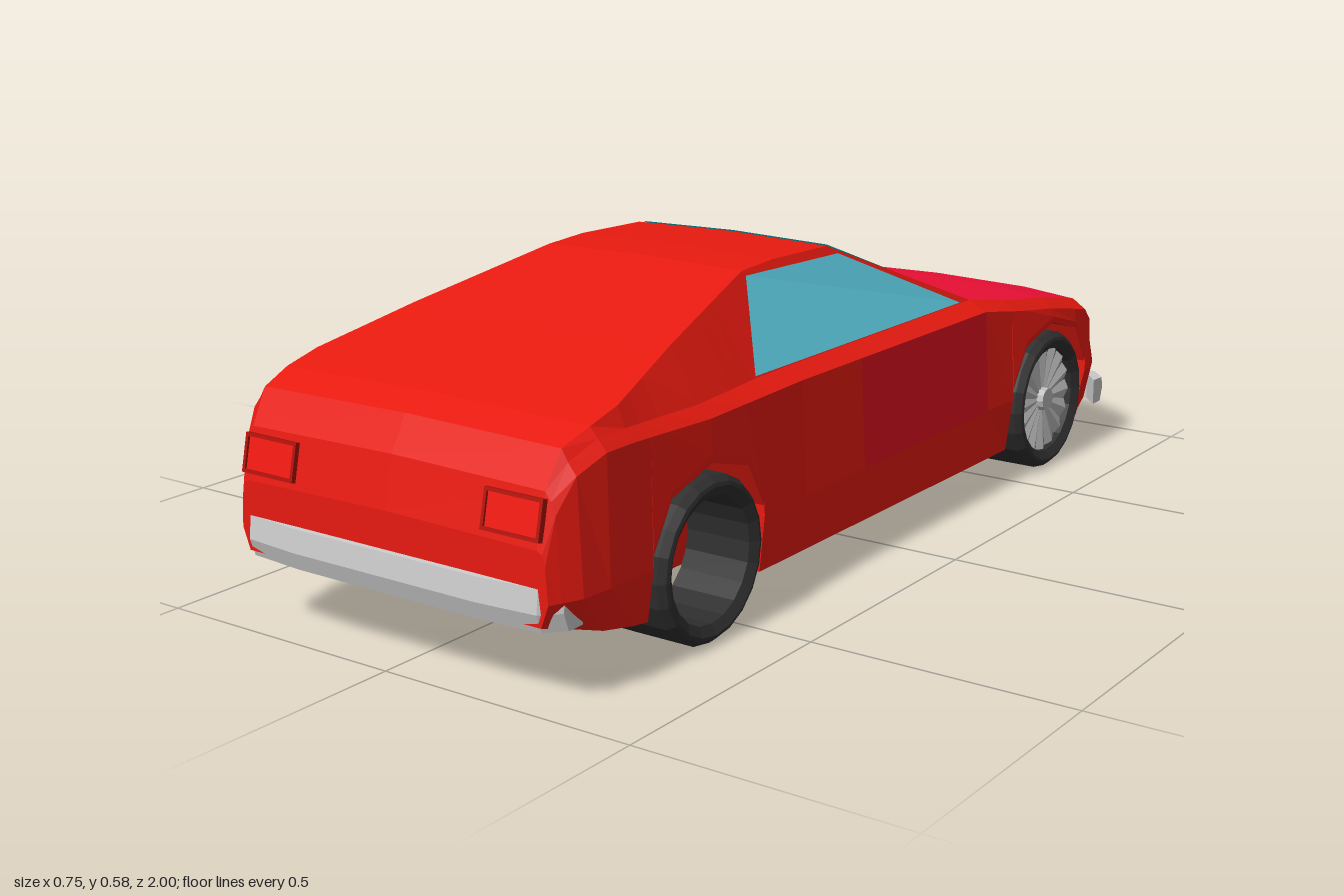
import * as THREE from 'three';

// Piecewise linear lookup in a short list of [position, value] keys
function key(list, z) {
  if (z <= list[0][0]) return list[0][1];
  for (let i = 1; i < list.length; i++) {
    const [z0, v0] = list[i - 1], [z1, v1] = list[i];
    if (z <= z1) return v0 + (v1 - v0) * (z - z0) / (z1 - z0);
  }
  return list[list.length - 1][1];
}

// Body curves along z (nose at -z, tail at +z)
const TOP = [[-0.985, 0.24], [-0.95, 0.305], [-0.8, 0.352], [-0.65, 0.382], [-0.5, 0.396], [-0.38, 0.405], [0.02, 0.575],
  [0.2, 0.58], [0.3, 0.575], [0.6, 0.51], [0.8, 0.46], [0.87, 0.442], [0.93, 0.42], [0.965, 0.36], [0.985, 0.27]];
const ROOF_X = [[-0.985, 0.2], [-0.8, 0.22], [-0.5, 0.25], [-0.38, 0.308], [0.02, 0.22], [0.3, 0.22], [0.6, 0.285],
  [0.8, 0.33], [0.87, 0.33], [0.985, 0.315]];
const SILL_X = [[-0.985, 0.31], [-0.95, 0.33], [-0.8, 0.34], [-0.5, 0.335], [-0.38, 0.31], [0.3, 0.315], [0.41, 0.32],
  [0.6, 0.34], [0.87, 0.345], [0.985, 0.325]];
const SILL_Y = [[-0.985, 0.235], [-0.95, 0.295], [-0.8, 0.335], [-0.65, 0.365], [-0.5, 0.385], [-0.38, 0.405],
  [0.6, 0.412], [0.8, 0.42], [0.87, 0.42], [0.93, 0.395], [0.965, 0.34], [0.985, 0.26]];
const SHOULDER_X = [[-0.985, 0.345], [-0.9, 0.37], [-0.6, 0.367], [-0.38, 0.35], [0.3, 0.35], [0.6, 0.366], [0.9, 0.362], [0.985, 0.33]];
const MID_X = [[-0.985, 0.355], [-0.9, 0.375], [-0.6, 0.372], [-0.38, 0.36], [0.3, 0.36], [0.6, 0.37], [0.92, 0.365], [0.985, 0.335]];
const BOTTOM_X = [[-0.985, 0.33], [-0.85, 0.35], [0.85, 0.355], [0.985, 0.32]];
const FLOOR = [[-0.985, 0.09], [-0.95, 0.075], [-0.8, 0.07], [0.7, 0.078], [0.85, 0.1], [0.93, 0.125], [0.985, 0.14]];
const ARCH = [[-0.161, 0], [-0.16, 0.2], [-0.11, 0.285], [0, 0.317], [0.11, 0.285], [0.16, 0.2], [0.161, 0]];
const AXLES = [-0.64, 0.6];

// Closed cross-section at z: floor, wheel well, flank, window band, roof, then mirrored
function section(z) {
  const floor = key(FLOOR, z);
  const arch = Math.max(floor, ...AXLES.map(a => key(ARCH, z - a)));
  const midX = key(MID_X, z), midY = Math.max(0.18, arch + 0.012);
  const bottomX = key(BOTTOM_X, z);
  const lowX = bottomX + (midX - bottomX) * (arch - floor) / (midY - floor);
  const top = key(TOP, z), sillY = key(SILL_Y, z);
  const half = [[0, floor], [0.22, floor], [0.22, arch], [lowX, arch], [midX, midY],
    [key(SHOULDER_X, z), sillY - 0.02], [key(SILL_X, z), sillY], [key(ROOF_X, z), top - 0.005], [0, top]];
  const ring = [...half, ...half.slice(1, 8).reverse().map(([x, y]) => [-x, y])];
  // the nose sweeps back towards its corners
  const sweep = Math.min(1, Math.max(0, (-z - 0.8) / 0.15));
  return ring.map(([x, y]) => {
    const ax = Math.abs(x);
    return new THREE.Vector3(x, y, z + sweep * (0.08 * ax + 0.5 * Math.max(0, ax - 0.2)));
  });
}

function mesh(name, geometry, color, side = THREE.FrontSide) {
  const m = new THREE.Mesh(geometry, new THREE.MeshStandardMaterial({ color, flatShading: true, side }));
  m.name = name;
  return m;
}

// Skin over a row of closed rings; keep(i, j) picks the cells
function skin(rings, caps = true, keep = () => true) {
  const pts = [], n = rings[0].length;
  for (let i = 0; i < rings.length - 1; i++) {
    for (let j = 0; j < n; j++) {
      if (!keep(i, j)) continue;
      const k = (j + 1) % n;
      const a = rings[i][j], b = rings[i][k], c = rings[i + 1][k], d = rings[i + 1][j];
      pts.push(a, b, c, a, c, d);
    }
  }
  if (caps) {
    const first = rings[0], last = rings[rings.length - 1];
    for (let j = 1; j < n - 1; j++) pts.push(last[0], last[j], last[j + 1], first[0], first[j + 1], first[j]);
  }
  const g = new THREE.BufferGeometry().setFromPoints(pts);
  g.computeVertexNormals();
  return g;
}

// Pair of thin panels laid on the body; corners are [z, position round the section]
function panels(group, name, color, corners, lift = 0.004) {
  const p = corners.map(([z, s]) => {
    const ring = section(z), j = Math.min(7, Math.floor(s));
    return ring[j].clone().lerp(ring[j + 1], s - j);
  });
  const normal = p[2].clone().sub(p[0]).cross(p[3].clone().sub(p[1])).normalize();
  if (normal.y < 0) normal.negate();
  p.forEach(v => v.addScaledVector(normal, lift));
  for (const side of [1, -1]) {
    const q = p.map(v => new THREE.Vector3(v.x * side, v.y, v.z));
    const g = new THREE.BufferGeometry().setFromPoints([q[0], q[1], q[2], q[0], q[2], q[3]]);
    g.computeVertexNormals();
    group.add(mesh(name, g, color, THREE.DoubleSide));
  }
}

// Bumper bar: a [depth, y] profile carried along a plan of [x, z] points
function bumper(name, plan, profile, dir) {
  const loop = dir > 0 ? profile : [...profile].reverse();
  const rings = plan.map(([x, z]) => loop.map(([d, y]) => new THREE.Vector3(x, y, dir * (z + d))));
  return mesh(name, skin(rings), 0xc4c4c4);
}

// Hollow tyre with chamfered shoulders, axis along x
function tyre() {
  const profile = [[0.112, -0.065], [0.13, -0.075], [0.137, -0.073], [0.147, -0.06], [0.147, 0.06],
    [0.137, 0.073], [0.13, 0.075], [0.112, 0.065], [0.112, -0.065]];
  const g = new THREE.LatheGeometry(profile.map(([r, y]) => new THREE.Vector2(r, y)), 20);
  return mesh('tyre', g.rotateZ(-Math.PI / 2), 0x2e2e2e);
}

// Rim with tapered radial spokes
function rim() {
  const group = new THREE.Group();
  group.name = 'rim';
  const hub = new THREE.CylinderGeometry(0.024, 0.028, 0.03, 12).rotateZ(-Math.PI / 2);
  group.add(mesh('hub', hub, 0xbbbbbb));
  const spokes = 16;
  for (let i = 0; i < spokes; i++) {
    const g = new THREE.CylinderGeometry(0.021, 0.006, 0.094, 4).scale(0.4, 1, 1);
    g.translate(0, 0.064, 0).rotateX(i * 2 * Math.PI / spokes);
    group.add(mesh('spoke', g, 0xbbbbbb));
  }
  return group;
}

export function createModel() {
  const car = new THREE.Group();
  car.name = 'car';

  // Body shell, hood and doors share one set of cross-sections
  const arches = AXLES.flatMap(a => ARCH.map(([d]) => a + d));
  const stations = [...arches, -0.985, -0.95, -0.9, -0.85, -0.38, 0.02, 0.1, 0.2, 0.3, 0.41, 0.8, 0.87, 0.93, 0.965, 0.985]
    .sort((a, b) => a - b);
  const rings = stations.map(section);
  const isHood = (i, j) => j >= 6 && j <= 9 && stations[i] >= -0.951 && stations[i] < -0.381;
  const isDoor = (i, j) => (j === 4 || j === 11) && stations[i] >= -0.4 && stations[i] < 0.099;
  car.add(mesh('body', skin(rings, true, (i, j) => !isHood(i, j) && !isDoor(i, j)), 0xe81a10));
  car.add(mesh('hood', skin(rings, false, isHood), 0xee1035));
  car.add(mesh('doors', skin(rings, false, isDoor), 0xe01020));

  // Glass
  panels(car, 'windshield', 0x10d4e0, [[-0.372, 7.03], [-0.372, 8], [0.012, 8], [0.012, 7.03]]);
  panels(car, 'sideWindow', 0x5cc8dc, [[-0.335, 6.05], [0.405, 6.02], [0.3, 6.94], [0.0, 6.94]]);

  // Nose fittings
  panels(car, 'headlight', 0xc8c8c8, [[-0.954, 6.02], [-0.98, 6.02], [-0.98, 6.95], [-0.954, 6.95]]);
  panels(car, 'grille', 0x707070, [[-0.958, 7.2], [-0.979, 7.2], [-0.979, 8], [-0.958, 8]]);

  // Bumpers
  car.add(bumper('rearBumper', [[-0.345, 0.945], [-0.315, 0.975], [-0.2, 0.985], [0.2, 0.985], [0.315, 0.975], [0.345, 0.945]],
    [[-0.03, 0.205], [0.01, 0.203], [0.015, 0.162], [0.004, 0.13], [-0.03, 0.13]], 1));
  car.add(bumper('frontBumper', [[-0.365, 0.9], [-0.33, 0.94], [-0.2, 0.97], [0, 0.985], [0.2, 0.97], [0.33, 0.94], [0.365, 0.9]],
    [[-0.03, 0.14], [0.01, 0.138], [0.015, 0.115], [0.005, 0.085], [-0.03, 0.085]], -1));

  // Tail lights: framed panels leaning with the tail
  for (const side of [1, -1]) {
    const light = new THREE.Group();
    light.name = 'tailLight';
    light.add(mesh('lens', new THREE.BoxGeometry(0.11, 0.058, 0.012), 0xf01810));
    for (const s of [1, -1]) {
      const bar = mesh('frameBar', new THREE.BoxGeometry(0.118, 0.006, 0.02), 0xb01008);
      bar.position.y = s * 0.031;
      const post = mesh('framePost', new THREE.BoxGeometry(0.006, 0.062, 0.02), 0xb01008);
      post.position.x = s * 0.056;
      light.add(bar, post);
    }
    light.position.set(side * 0.264, 0.311, 0.974);
    light.rotation.x = -0.22;
    car.add(light);
  }

  // Wheels; one front wheel carries a rim
  for (const z of AXLES) {
    for (const side of [1, -1]) {
      const wheel = new THREE.Group();
      wheel.name = z < 0 ? 'frontWheel' : 'rearWheel';
      wheel.add(tyre());
      if (z < 0 && side > 0) {
        const r = rim();
        r.position.x = 0.05;
        wheel.add(r);
      }
      wheel.position.set(side * 0.301, 0.147, z);
      car.add(wheel);
    }
  }
  return car;
}
